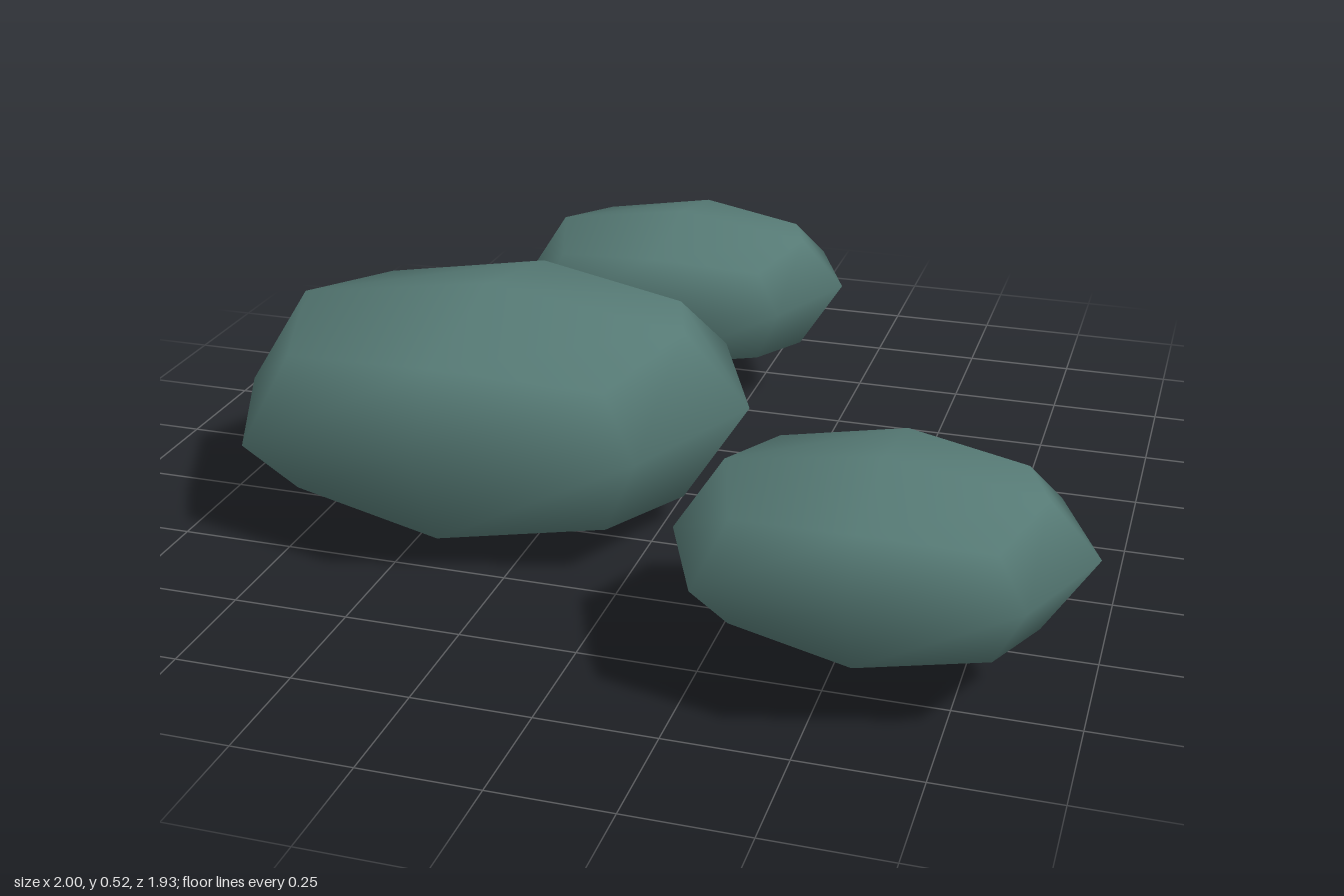
import * as THREE from 'three';
import { mergeVertices } from 'three/addons/utils/BufferGeometryUtils.js';

// A pebble: a 2x2x2 divided box rounded once, with a slightly skewed waist
function pebbleGeometry() {
  const box = new THREE.BoxGeometry(2, 2, 2, 2, 2, 2);
  box.deleteAttribute('uv');
  box.deleteAttribute('normal');
  const geo = mergeVertices(box);
  const pos = geo.attributes.position;
  const roundness = [0, 1, 0.75, 0.6]; // face centre, edge, corner
  for (let i = 0; i < pos.count; i++) {
    const p = new THREE.Vector3().fromBufferAttribute(pos, i).round();
    const k = roundness[Math.abs(p.x) + Math.abs(p.y) + Math.abs(p.z)];
    const skew = p.y === 0 ? (p.x < 0 ? -0.14 : 0.14) : 0;
    pos.setXYZ(i, p.x * k, p.y * k + skew, p.z * k);
  }
  return geo;
}

export function createModel() {
  const group = new THREE.Group();
  group.name = 'pebbleCluster';
  const material = new THREE.MeshStandardMaterial({ color: 0x567a75 });

  // name, centre, half sizes
  const pebbles = [
    ['largePebble', [-0.405, 0.263, 0.142], [0.595, 0.261, 0.462]],
    ['frontPebble', [0.583, 0.278, 0.64], [0.415, 0.182, 0.323]],
    ['backPebble', [-0.197, 0.278, -0.643], [0.415, 0.182, 0.323]],
  ];
  for (const [name, centre, half] of pebbles) {
    const geo = pebbleGeometry().scale(...half);
    geo.computeVertexNormals();
    const mesh = new THREE.Mesh(geo, material);
    mesh.name = name;
    mesh.position.set(...centre);
    group.add(mesh);
  }
  return group;
}
